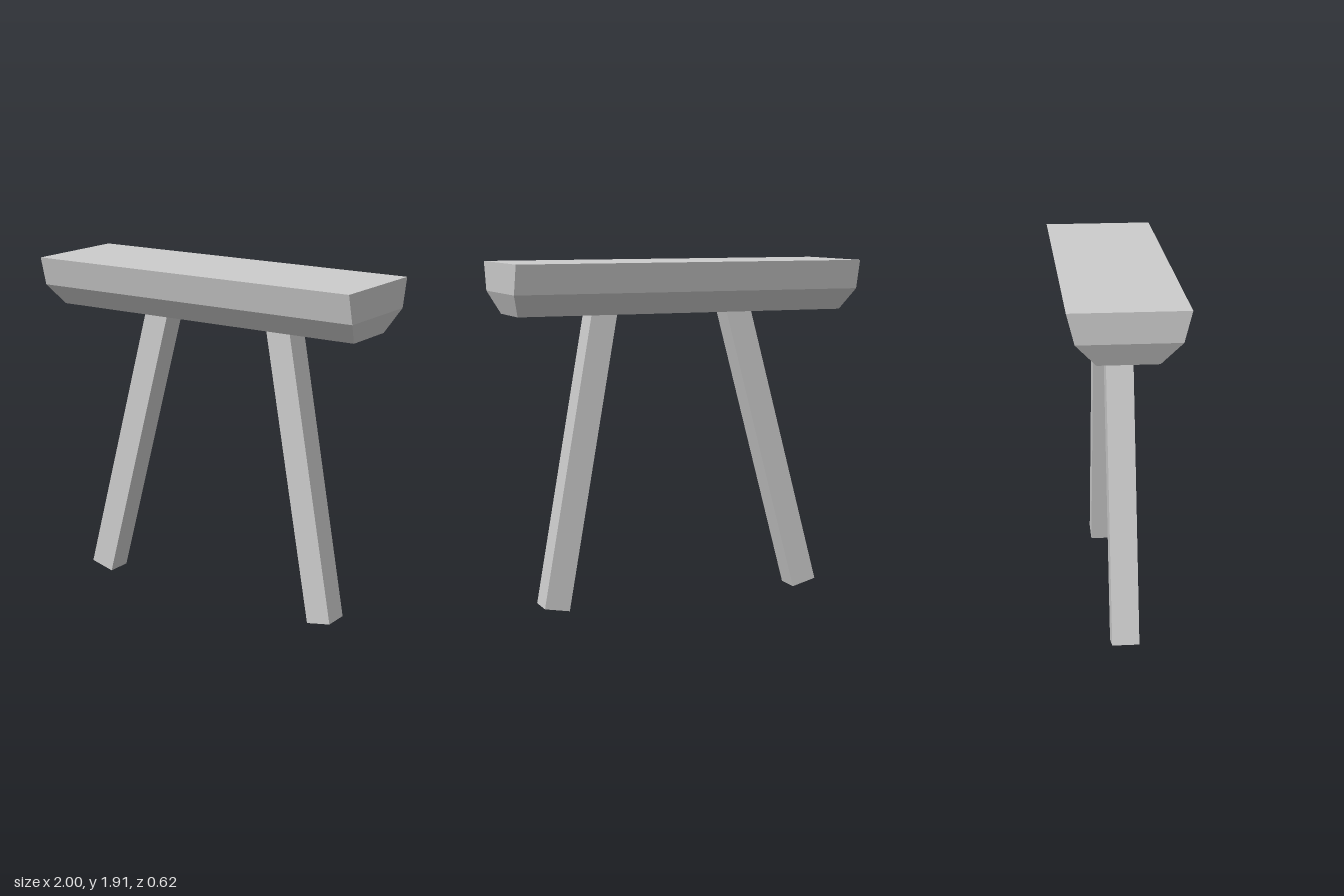
import * as THREE from 'three';
import { ConvexGeometry } from 'three/addons/geometries/ConvexGeometry.js';

const LEG_WIDTH = 0.145;
const LEG_TOP = 1.68; // legs end just inside the seat

const material = new THREE.MeshStandardMaterial({
  color: 0xcccccc, flatShading: true, side: THREE.DoubleSide,
});

// Thick plank with sides tapering in two steps towards the underside
function createSeat() {
  const levels = [ // height, half length, half depth
    [1.915, 1, 0.308],
    [1.755, 1, 0.267],
    [1.634, 0.95, 0.158],
  ];
  const corners = [];
  for (const [y, x, z] of levels) {
    for (const sx of [-1, 1]) {
      for (const sz of [-1, 1]) corners.push(new THREE.Vector3(sx * x, y, sz * z));
    }
  }
  const seat = new THREE.Mesh(new ConvexGeometry(corners), material);
  seat.name = 'seat';
  return seat;
}

// Square post, open at both ends, leaning about the centre of its foot
function createLeg(name, footX, footY, degrees) {
  const lean = THREE.MathUtils.degToRad(degrees);
  const length = (LEG_TOP - footY) / Math.cos(lean);
  const radius = LEG_WIDTH / Math.SQRT2;
  const geometry = new THREE.CylinderGeometry(radius, radius, length, 4, 1, true);
  geometry.rotateY(Math.PI / 4);
  geometry.translate(0, length / 2, 0);
  const leg = new THREE.Mesh(geometry, material);
  leg.name = name;
  leg.position.set(footX, footY, 0);
  leg.rotation.z = lean;
  return leg;
}

export function createModel() {
  const bench = new THREE.Group();
  bench.name = 'bench';
  bench.add(
    createSeat(),
    createLeg('rightLeg', -0.792, 0.031, -15),
    createLeg('leftLeg', 0.722, 0.0126, 10),
  );
  return bench;
}
